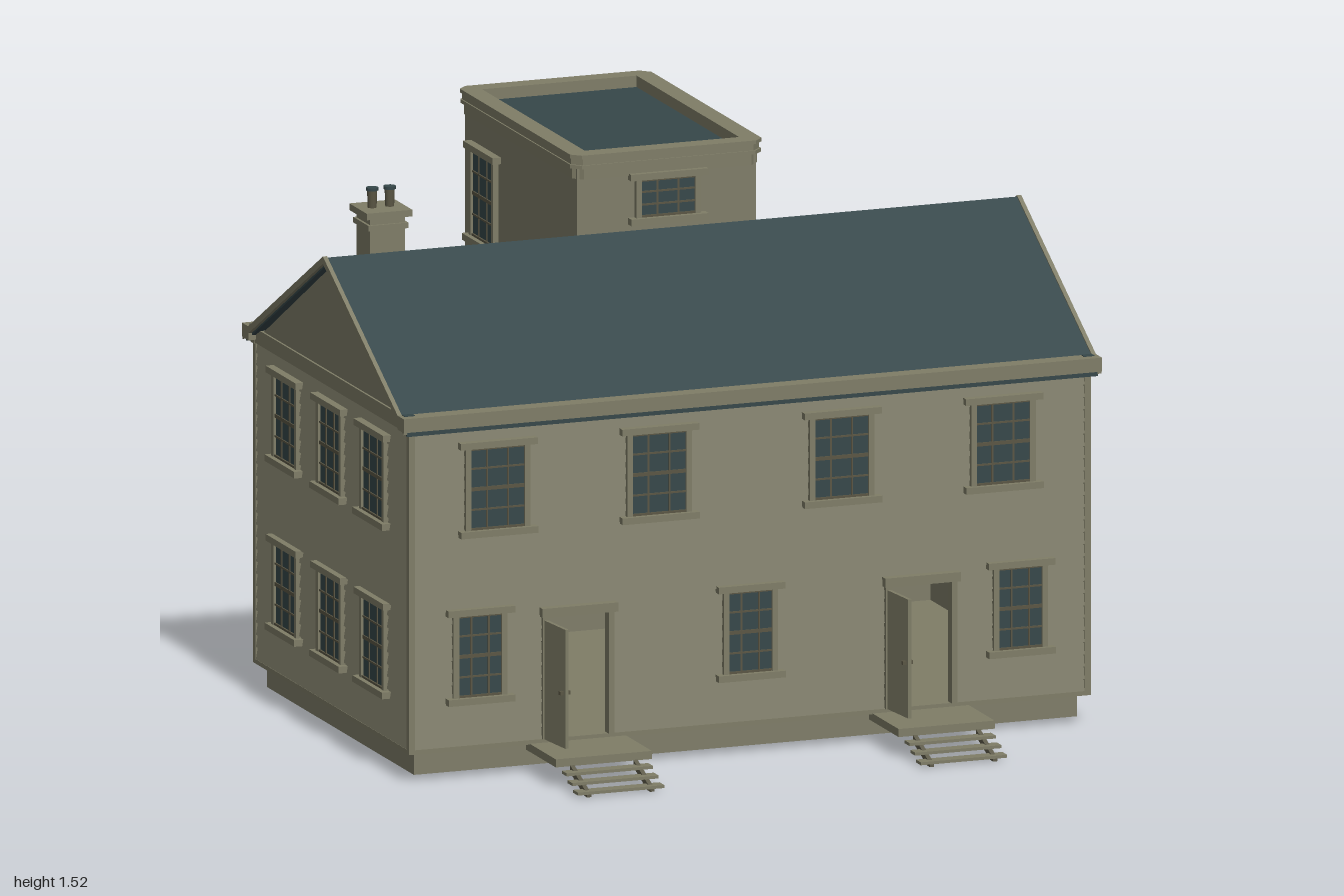
import * as THREE from 'three';

const mat = (name, color, extra = {}) => {
  const m = new THREE.MeshStandardMaterial({ color, ...extra });
  m.name = name;
  return m;
};

export function createModel() {
  const model = new THREE.Group();
  model.name = 'house';
  const wallMat = mat('wall beige', 0x7f7d69);
  const trimMat = mat('trim beige', 0x7f7d67);
  const darkMat = mat('dark slate', 0x36474a);
  const barMat = mat('window bar brown', 0x5a5644);

  const add = (parent, name, geo, material) => {
    const m = new THREE.Mesh(geo, material);
    m.name = name;
    parent.add(m);
    return m;
  };
  // Box given by its min and max on each axis
  const box = (parent, name, material, x0, x1, y0, y1, z0, z1) => {
    const m = add(parent, name, new THREE.BoxGeometry(x1 - x0, y1 - y0, z1 - z0), material);
    m.position.set((x0 + x1) / 2, (y0 + y1) / 2, (z0 + z1) / 2);
    return m;
  };
  const shapeOf = pts => new THREE.Shape(pts.map(p => new THREE.Vector2(p[0], p[1])));
  const extrude = (shape, depth) => new THREE.ExtrudeGeometry(shape, { depth, bevelEnabled: false });

  // Side of the building: local +z points outward, local z = 0 is the wall plane
  const face = (name, angle, dist) => {
    const g = new THREE.Group();
    g.name = name;
    g.rotation.y = angle;
    g.position.set(Math.sin(angle) * dist, 0, Math.cos(angle) * dist);
    model.add(g);
    return g;
  };

  // Clapboard wall from a to b: a sawtooth profile drawn along the wall
  const BASE = 0.09, PITCH = 0.0335, DOOR_ROW = 10, ROWS = 26;
  const siding = (g, a, b, row0 = 0) => {
    const pts = [[0.015, BASE + row0 * PITCH]];
    for (let i = row0; i < ROWS; i++) {
      pts.push([-0.006, BASE + i * PITCH], [0, BASE + (i + 1) * PITCH]);
    }
    pts.push([0.015, BASE + ROWS * PITCH]);
    const geo = extrude(shapeOf(pts.reverse()), b - a);
    geo.rotateY(Math.PI / 2);
    add(g, 'clapboard wall', geo, wallMat).position.x = a;
  };

  // Sash window with casing, glazing bars, head and sill; w is the half width
  const addWindow = (parent, x, y0, y1, w = 0.09) => {
    const g = new THREE.Group();
    g.name = 'window';
    g.position.x = x;
    parent.add(g);
    const b = y0 + 0.018, t = y1 - 0.018, h = t - b;
    box(g, 'glass', darkMat, -w, w, b, t, -0.017, 0.008);
    for (const s of [-1, 1]) {
      const e = s * (w - 0.006);
      box(g, 'casing', trimMat, e - 0.008, e + 0.008, b, t, 0, 0.015);
      const c = s * w / 3;
      box(g, 'upright bar', barMat, c - 0.0025, c + 0.0025, b, t, 0, 0.011);
    }
    const rows = h > 0.13 ? 4 : 3;
    for (let i = 1; i < rows; i++) {
      const y = b + h * i / rows, k = i * 2 === rows ? 0.005 : 0.0025;
      box(g, 'cross bar', barMat, -w, w, y - k, y + k, 0, 0.0115);
    }
    for (const y of [b, t]) box(g, 'sash rail', barMat, -w, w, y - 0.006, y + 0.006, 0, 0.013);
    box(g, 'head', trimMat, -w - 0.02, w + 0.02, t, y1, 0, 0.024);
    box(g, 'sill', trimMat, -w - 0.02, w + 0.02, y0, b, 0, 0.027);
  };

  // Doorway with an open door, landing and steps
  const DOOR = 0.09, DOOR_TOP = BASE + DOOR_ROW * PITCH;
  const addEntrance = (parent, x) => {
    const g = new THREE.Group();
    g.name = 'entrance';
    g.position.x = x;
    parent.add(g);
    for (const s of [-1, 1]) {
      const e = s * (DOOR + 0.004);
      box(g, 'door jamb', trimMat, e - 0.008, e + 0.008, BASE, DOOR_TOP, -0.016, 0.014);
    }
    box(g, 'door head', trimMat, -0.108, 0.108, DOOR_TOP, DOOR_TOP + 0.025, -0.016, 0.026);
    const leaf = new THREE.Group();
    leaf.name = 'open door';
    leaf.position.set(-0.088, 0, 0.005);
    leaf.rotation.y = 0.1;
    g.add(leaf);
    box(leaf, 'door leaf', trimMat, -0.01, 0, BASE, 0.415, 0, 0.13);
    box(leaf, 'door handle', barMat, -0.02, 0.01, 0.235, 0.245, 0.11, 0.12);
    box(g, 'landing', trimMat, -0.137, 0.137, 0.058, 0.08, -0.02, 0.2);
    for (let i = 0; i < 3; i++) {
      const y = 0.05 - i * 0.017, z = 0.208 + i * 0.042;
      box(g, 'step', trimMat, -0.123, 0.123, y - 0.008, y, z, z + 0.036);
    }
    for (const s of [-1, 1]) {
      const geo = extrude(shapeOf([[0.2, 0.06], [0.2, 0.04], [0.305, 0], [0.325, 0], [0.325, 0.01]].reverse()), 0.012);
      geo.rotateY(-Math.PI / 2);
      const m = add(g, 'stringer', geo, trimMat);
      m.position.x = s * 0.09 + 0.006;
      m.material = stringerMat;
    }
  };
  const stringerMat = mat('stringer brown', 0x5f5c4b, { side: THREE.DoubleSide });

  // Foundation, baseboards and ceiling
  box(model, 'foundation', wallMat, -0.945, 0.945, 0.015, 0.085, -0.545, 0.545);
  box(model, 'tower foundation', wallMat, -0.25, 0.25, 0.015, 0.085, -0.86, -0.5);
  box(model, 'baseboard', trimMat, -0.972, 0.972, 0.078, 0.09, -0.577, 0.577);
  box(model, 'tower baseboard', trimMat, -0.268, 0.268, 0.078, 0.09, -0.88, -0.5);
  box(model, 'ceiling', wallMat, -0.96, 0.96, 0.95, 0.965, -0.565, 0.565);

  // Front and back walls, left open at the doors
  const wallWithDoors = (g, doors) => {
    let a = -0.965;
    for (const d of doors) {
      siding(g, a, d - DOOR);
      siding(g, d - DOOR, d + DOOR, DOOR_ROW);
      addEntrance(g, d);
      a = d + DOOR;
    }
    siding(g, a, 0.965);
  };
  const front = face('front', 0, 0.57), back = face('back', Math.PI, 0.57);
  wallWithDoors(front, [-0.49, 0.487]);
  wallWithDoors(back, [0.6]);
  for (const x of [-0.72, -0.26, 0.26, 0.72]) addWindow(front, x, 0.66, 0.92);
  for (const x of [-0.77, 0, 0.77]) addWindow(front, x, 0.205, 0.465, 0.075);
  for (const x of [-0.71, -0.45, 0.44, 0.77]) addWindow(back, x, 0.66, 0.92);
  for (const x of [-0.71, -0.45]) addWindow(back, x, 0.2, 0.46);
  for (const x of [0.37, 0.83]) addWindow(back, x, 0.2, 0.46, 0.075);

  // Gable ends and tower sides
  for (const s of [-1, 1]) {
    const end = face(s > 0 ? 'left end' : 'right end', s * Math.PI / 2, 0.965);
    siding(end, -0.57, 0.57);
    for (const x of [-0.32, 0, 0.33]) {
      addWindow(end, s * x, 0.66, 0.92);
      addWindow(end, s * x, 0.2, 0.46);
    }
    const gable = extrude(shapeOf([[-0.57, 0.96], [0.57, 0.96], [0, 1.29]]), 0.02);
    add(end, 'gable', gable, wallMat).position.z = -0.018;
    box(end, 'gable band', trimMat, -0.575, 0.575, 0.955, 0.995, -0.01, 0.008);

    const side = face('tower side', s * Math.PI / 2, 0.255);
    const [a, b] = s > 0 ? [0.56, 0.87] : [-0.87, -0.56];
    siding(side, a, b);
    addWindow(side, s * 0.715, 0.2, 0.46);
    addWindow(side, s * 0.715, 0.66, 0.92);
    addWindow(side, s * 0.715, 1.12, 1.39);

    // Corner boards
    for (const z of [-0.568, 0.568]) {
      box(model, 'corner board', trimMat, s * 0.963 - 0.009, s * 0.963 + 0.009, 0.09, 0.965, z - 0.009, z + 0.009);
    }
    box(model, 'tower corner board', trimMat, s * 0.254 - 0.008, s * 0.254 + 0.008, 0.09, 0.99, -0.877, -0.861);
  }

  // Tower back and upper storey
  const towerBack = face('tower back', Math.PI, 0.87);
  siding(towerBack, -0.255, 0.255);
  addWindow(towerBack, 0, 0.3, 0.51, 0.075);
  addWindow(towerBack, 0, 0.68, 0.9);
  addWindow(towerBack, 0, 1.12, 1.395);
  box(model, 'tower upper storey', wallMat, -0.255, 0.255, 0.96, 1.485, -0.87, -0.04);
  box(model, 'tower band', trimMat, -0.263, 0.263, 0.995, 1.01, -0.878, -0.56);
  addWindow(face('tower front', 0, -0.04), 0, 1.32, 1.46);

  // Parapet rings with clipped corners around a sunken flat roof
  const ring = (hx, hz, y, h) => {
    const c = 0.025;
    const shape = shapeOf([[-hx + c, -hz], [hx - c, -hz], [hx, -hz + c], [hx, hz - c],
      [hx - c, hz], [-hx + c, hz], [-hx, hz - c], [-hx, -hz + c]]);
    shape.holes.push(new THREE.Path([[-0.22, -0.38], [-0.22, 0.38], [0.22, 0.38], [0.22, -0.38]]
      .map(p => new THREE.Vector2(p[0], p[1]))));
    const geo = extrude(shape, h);
    geo.rotateX(-Math.PI / 2);
    add(model, 'parapet', geo, trimMat).position.set(0, y, -0.455);
  };
  ring(0.264, 0.424, 1.455, 0.03);
  ring(0.272, 0.432, 1.485, 0.01);
  ring(0.268, 0.428, 1.495, 0.02);
  ring(0.273, 0.433, 1.513, 0.01);
  box(model, 'flat roof', darkMat, -0.222, 0.222, 1.48, 1.492, -0.837, -0.073);

  // Pitched roof, rake boards and eaves
  const chevron = (name, x0, x1, top, bottom, material) => {
    const geo = extrude(shapeOf([[0.597, 0.975 + top], [0, 1.312 + top], [-0.597, 0.975 + top],
      [-0.597, 0.975 - bottom], [0, 1.312 - bottom], [0.597, 0.975 - bottom]]), x1 - x0);
    geo.rotateY(Math.PI / 2);
    add(model, name, geo, material).position.x = x0;
  };
  chevron('pitched roof', -0.985, 0.985, 0, 0.022, darkMat);
  for (const s of [-1, 1]) {
    chevron('rake board', s * 0.989 - 0.006, s * 0.989 + 0.006, 0.004, 0.016, trimMat);
    const [a, b] = s > 0 ? [0.552, 0.6] : [-0.6, -0.552];
    box(model, 'eave gutter', trimMat, -0.995, 0.995, 0.965, 1.003, a, b);
    box(model, 'eave moulding', trimMat, -0.975, 0.975, 0.952, 0.966, s * 0.575 - 0.012, s * 0.575 + 0.012);
    for (const x of [-0.968, 0.968]) {
      box(model, 'gutter outlet', darkMat, x - 0.015, x + 0.015, 1.002, 1.005, s * 0.565 - 0.01, s * 0.565 + 0.01);
    }
  }

  // Chimney with cap and two pots
  const chimney = new THREE.Group();
  chimney.name = 'chimney';
  chimney.position.set(-0.75, 0, -0.207);
  model.add(chimney);
  for (const [r, y0, y1] of [[0.05, 1.1, 1.37], [0.057, 1.335, 1.35], [0.065, 1.368, 1.386]]) {
    box(chimney, 'chimney stack', trimMat, -r, r, y0, y1, -r, r);
  }
  for (const x of [-0.025, 0.025]) {
    add(chimney, 'chimney pot', new THREE.CylinderGeometry(0.014, 0.012, 0.055, 12), barMat).position.set(x, 1.413, 0);
    add(chimney, 'pot rim', new THREE.CylinderGeometry(0.017, 0.017, 0.008, 12), darkMat).position.set(x, 1.437, 0);
  }
  return model;
}
